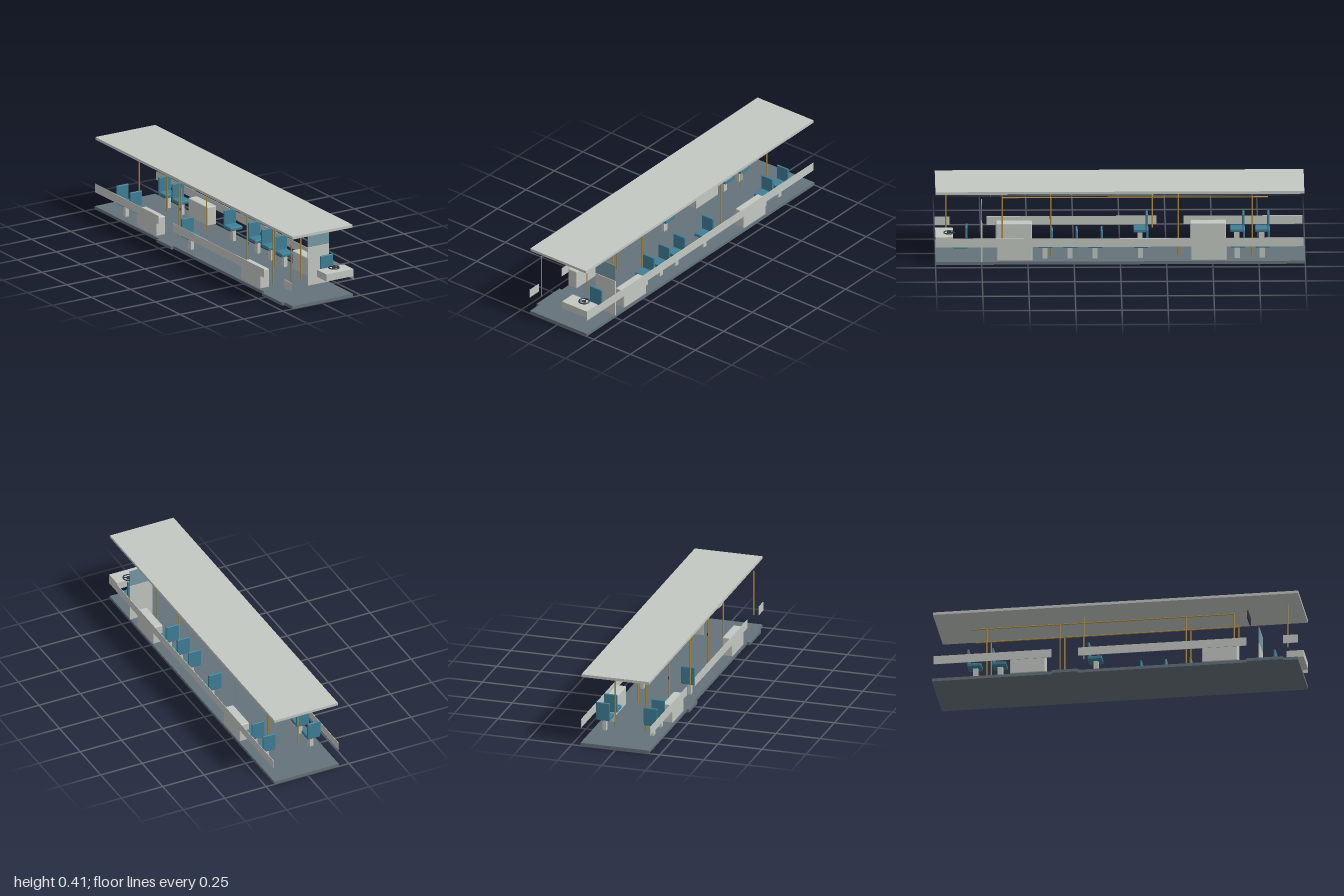
import * as THREE from 'three';
import { RoundedBoxGeometry } from 'three/addons/geometries/RoundedBoxGeometry.js';

const mat = (color) => new THREE.MeshStandardMaterial({ color });

export function createModel() {
  const root = new THREE.Group();
  root.name = 'busInterior';
  const M = {
    shell: mat(0xc3c8c2), floor: mat(0x65727a), seat: mat(0x3f7f97),
    pole: mat(0xb08d3a), dark: mat(0x2d383e), glass: mat(0x7799a6), amber: mat(0xe0a040),
  };

  const add = (name, geometry, material, parent = root) => {
    const mesh = new THREE.Mesh(geometry, material);
    mesh.name = name;
    parent.add(mesh);
    return mesh;
  };
  // Box given by its limits on each axis; r rounds the edges
  const box = (name, material, [x0, x1], [y0, y1], [z0, z1], r = 0, parent = root) => {
    const s = [x1 - x0, y1 - y0, z1 - z0];
    const g = r ? new RoundedBoxGeometry(...s, 2, r) : new THREE.BoxGeometry(...s);
    const mesh = add(name, g, material, parent);
    mesh.position.set((x0 + x1) / 2, (y0 + y1) / 2, (z0 + z1) / 2);
    return mesh;
  };
  // Round bar between two points
  const bar = (name, material, a, b, r) => {
    const p = new THREE.Vector3(...a), q = new THREE.Vector3(...b);
    const mesh = add(name, new THREE.CylinderGeometry(r, r, p.distanceTo(q), 12), material);
    mesh.position.copy(p).lerp(q, 0.5);
    mesh.quaternion.setFromUnitVectors(new THREE.Vector3(0, 1, 0), q.sub(p).normalize());
    return mesh;
  };

  // Floor with two door sills, and roof
  box('floor', M.floor, [-0.189, 0.2], [0, 0.017], [-1, 1]);
  box('rearDoorSill', M.floor, [-0.206, -0.189], [0, 0.017], [-0.345, -0.2]);
  box('frontDoorSill', M.floor, [-0.206, -0.189], [0, 0.017], [0.72, 0.92]);
  box('roof', M.shell, [-0.187, 0.197], [0.397, 0.412], [-0.995, 1]);

  // Side bands, broken at the doors on one side
  box('leftSideBand', M.shell, [0.199, 0.202], [0.1, 0.148], [-0.99, 1]);
  for (const z of [[-0.99, -0.345], [-0.2, 0.72], [0.92, 1]])
    box('rightSideBand', M.shell, [-0.193, -0.19], [0.1, 0.148], z);

  // Wheel housings
  for (const x of [[-0.187, -0.128], [0.14, 0.199]])
    for (const z of [[0.475, 0.67], [-0.575, -0.38]])
      box('wheelHousing', M.shell, x, [0.019, 0.127], z, 0.006);

  // Seats: cushion, backrest and pedestal; z is the rear face
  const seat = (name, x, z, backTop, pedestal, width) => {
    const g = new THREE.Group();
    g.name = name;
    g.position.set(x, 0, z);
    root.add(g);
    const w = width / 2;
    box('cushion', M.seat, [-w, w], [0.083, 0.103], [0, 0.078], 0.005, g);
    box('backrest', M.seat, [-w, w], [0.095, backTop], [0, 0.012], 0.004, g);
    if (pedestal) box('pedestal', M.shell, [-0.01, 0.01], [0.017, 0.086], [0.028, 0.056], 0, g);
  };
  for (const z of [0.365, 0.23, 0.095, -0.152, -0.675, -0.81]) seat('leftSeat', 0.135, z, 0.185, true, 0.077);
  for (const z of [-0.152, -0.675, -0.81]) seat('rightSeat', -0.135, z, 0.185, true, 0.077);
  seat('driverSeat', 0.135, 0.826, 0.203, false, 0.081);

  // Grab rails along the aisle with floor poles
  for (const [poleX, railX] of [[-0.082, -0.078], [0.094, 0.089]]) {
    bar('grabRail', M.pole, [railX, 0.345, -0.8], [railX, 0.345, 0.64], 0.0033);
    for (const z of [0.637, 0.375, -0.315, -0.715])
      bar('floorPole', M.pole, [poleX, 0.017, z], [poleX, 0.345, z], 0.0038);
  }
  // Door poles
  for (const z of [0.94, -0.175]) bar('doorPole', M.pole, [-0.157, 0.092, z], [-0.157, 0.345, z], 0.004);
  // Stop buttons on the poles
  for (const z of [0.375, -0.315]) box('stopButton', M.dark, [-0.081, -0.077], [0.169, 0.184], [z - 0.005, z + 0.005]);

  // Partition behind the driver
  box('partitionPanel', M.shell, [0.068, 0.203], [0.017, 0.232], [0.747, 0.753]);
  box('partitionGlass', M.glass, [0.068, 0.203], [0.234, 0.33], [0.748, 0.752]);

  // Passenger display, lit on its rear face
  box('displayCase', M.dark, [-0.05, 0.06], [0.336, 0.375], [0.701, 0.709]);
  box('displayScreen', M.amber, [-0.044, 0.054], [0.342, 0.369], [0.6995, 0.702]);

  // Dashboard, steering column and wheel
  box('dashboard', M.shell, [0.03, 0.202], [0.118, 0.158], [0.905, 1]);
  bar('steeringColumn', M.dark, [0.124, 0.11, 0.945], [0.124, 0.159, 0.928], 0.005);
  const wheel = add('steeringWheel', new THREE.TorusGeometry(0.028, 0.0035, 8, 32), M.dark);
  wheel.rotation.x = Math.PI / 2;
  wheel.position.set(0.124, 0.16, 0.926);
  const hub = add('steeringHub', new THREE.CylinderGeometry(0.011, 0.011, 0.004, 20), M.dark);
  hub.position.copy(wheel.position);
  for (let i = 0; i < 3; i++) {
    const a = Math.PI / 2 + (i * Math.PI * 2) / 3;
    bar('steeringSpoke', M.dark, [0.124, 0.16, 0.926],
      [0.124 + 0.028 * Math.cos(a), 0.16, 0.926 - 0.028 * Math.sin(a)], 0.0025);
  }
  return root;
}
